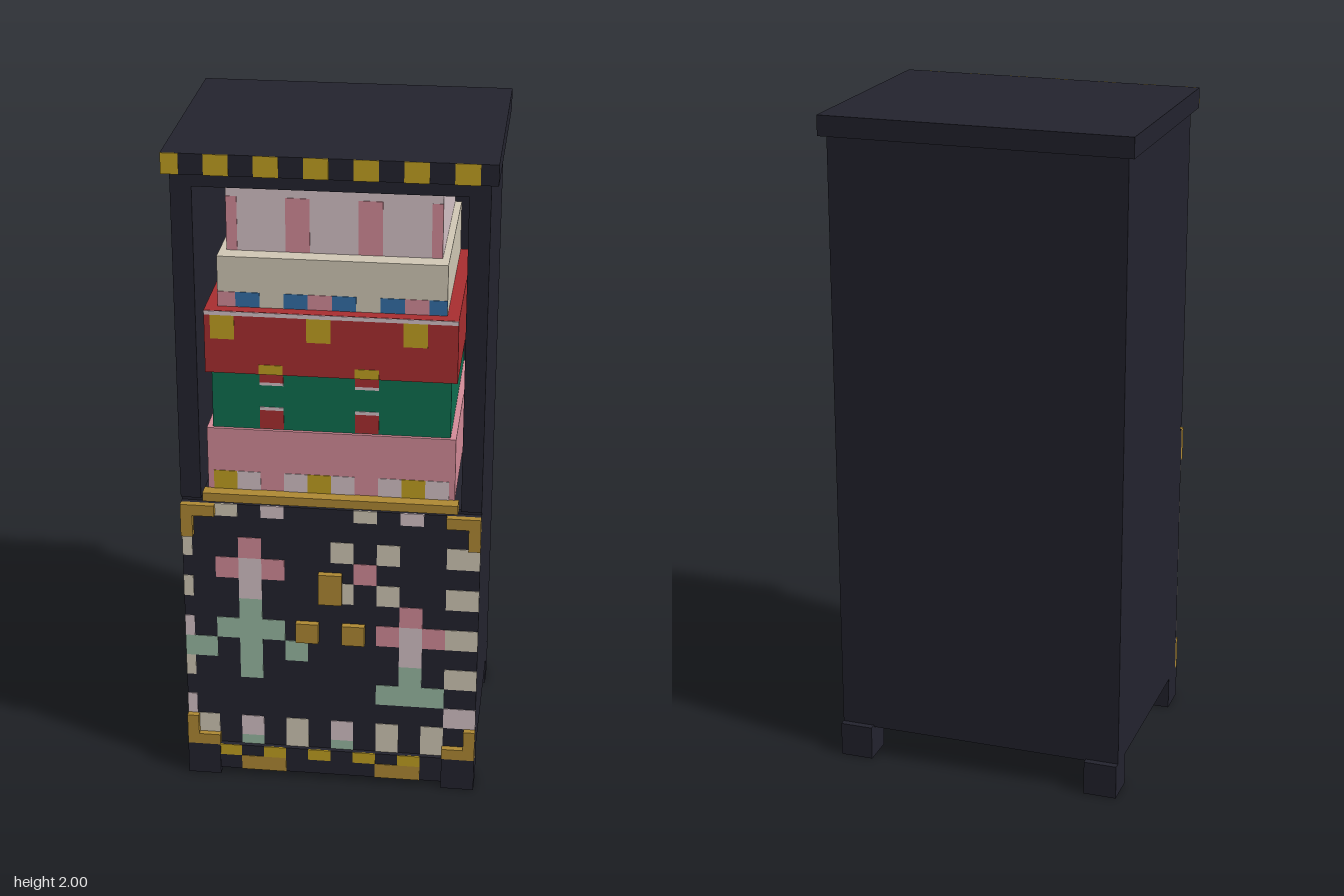
import * as THREE from 'three';

const mat = (name, color) => Object.assign(new THREE.MeshStandardMaterial({ color }), { name });
const M = {
  dark: mat('darkLacquer', 0x23232e),
  gold: mat('gold', 0xb08a34),
  y: mat('yellow', 0xc2a022),
  p: mat('pink', 0xd58c99),
  w: mat('palePink', 0xd6c3c8),
  c: mat('cream', 0xd2c9b6),
  b: mat('blue', 0x3470a8),
  r: mat('red', 0xa92e30),
  g: mat('green', 0x0f6f50),
  m: mat('mint', 0x9abaa4),
};
const T = 0.0685; // size of one painted square

// Box given by its minimum and maximum along each axis
function box(parent, name, material, x0, x1, y0, y1, z0, z1) {
  const mesh = new THREE.Mesh(new THREE.BoxGeometry(x1 - x0, y1 - y0, z1 - z0), material);
  mesh.position.set((x0 + x1) / 2, (y0 + y1) / 2, (z0 + z1) / 2);
  mesh.name = name;
  parent.add(mesh);
  return mesh;
}

// One row of painted squares; each letter is a colour, columns start at -7
function paintRow(parent, name, row, half, y0, y1, z) {
  [...row].forEach((k, n) => {
    if (!M[k]) return;
    const x0 = Math.max((n - 7) * T, -half), x1 = Math.min((n - 6) * T, half);
    if (x1 > x0) box(parent, name, M[k], x0, x1, y0, y1, z - 0.002, z + 0.002);
  });
}

export function createModel() {
  const model = new THREE.Group();
  model.name = 'cabinet';
  const group = (name) => {
    const g = new THREE.Group();
    g.name = name;
    model.add(g);
    return g;
  };

  // Carcass: walls, back, floor block and top
  const body = group('carcass');
  box(body, 'backPanel', M.dark, -0.44, 0.44, 0.1, 1.94, -0.34, -0.3);
  box(body, 'lowerBlock', M.dark, -0.38, 0.38, 0.1, 0.945, -0.3, 0.325);
  box(body, 'topRail', M.dark, -0.38, 0.38, 1.9, 1.94, -0.3, 0.34);
  for (const s of [-1, 1]) {
    const [a, b] = s < 0 ? [-0.44, -0.38] : [0.38, 0.44];
    box(body, 'sidePanel', M.dark, a, b, 0.1, 1.94, -0.3, 0.325);
    box(body, 'frontPost', M.dark, a, b, 0.945, 1.94, 0.325, 0.34);
    // Feet
    const [f, h] = s < 0 ? [-0.44, -0.34] : [0.34, 0.44];
    box(body, 'frontFoot', M.dark, f, h, 0, 0.105, 0.26, 0.36);
    box(body, 'backFoot', M.dark, f, h, 0, 0.105, -0.36, -0.26);
  }
  box(body, 'top', M.dark, -0.46, 0.46, 1.94, 2, -0.36, 0.36);
  paintRow(body, 'topTrim', 'y.y.y.y.y.y.y.', 0.46, 1.94, 2, 0.36);

  // Apron between the front feet
  const apron = group('apron');
  box(apron, 'apronBoard', M.dark, -0.34, 0.34, 0.02, 0.105, 0.33, 0.355);
  for (const z of [0.33, 0.355]) paintRow(apron, 'apronDash', '..y.y.y.y.y...', 0.34, T, 0.105, z);
  for (const i of [-4, 2]) box(apron, 'apronPlate', M.gold, i * T, (i + 2) * T, 0.02, T, 0.353, 0.357);

  // Door with painted flowers, top row first
  const door = group('door');
  box(door, 'doorPanel', M.dark, -0.44, 0.44, 0.105, 0.93, 0.325, 0.34);
  [
    '..c.w...c.w...',
    '..............',
    'c..p...c.c..cc',
    '..pwp...p.....',
    'c..w...c.c..cc',
    '...m......p...',
    'w.mmm....pwpcc',
    'mm.m.m....w...',
    'c..m......m.cc',
    '.........mmm..',
    'w...........ww',
    '.c.w.c.w.c.c..',
    '.c.m.c.m.c.c..',
  ].forEach((row, n) => {
    const j = 13 - n;
    paintRow(door, 'paintedSquare', row, 0.44, Math.max(j * T, 0.105), Math.min((j + 1) * T, 0.93), 0.34);
  });

  // Gold corner brackets
  const brackets = group('brackets');
  for (const s of [-1, 1]) {
    const span = (inner) => (s < 0 ? [-0.44, -inner] : [inner, 0.44]);
    for (const [y0, y1, edge0, edge1] of [[0.105, 0.205, 0.105, 0.14], [0.825, 0.93, 0.895, 0.93]]) {
      box(brackets, 'bracketUpright', M.gold, ...span(0.405), y0, y1, 0.34, 0.36);
      const [a, b] = s < 0 ? [-0.405, -0.34] : [0.34, 0.405];
      box(brackets, 'bracketBar', M.gold, a, b, edge0, edge1, 0.34, 0.36);
    }
  }

  // Lock plate, pulls and the shelf edge
  const fittings = group('fittings');
  box(fittings, 'lockPlate', M.gold, -0.035, 0.035, 0.62, 0.72, 0.34, 0.36);
  box(fittings, 'leftPull', M.gold, 0.035, 0.103, 0.485, 0.55, 0.34, 0.36);
  box(fittings, 'rightPull', M.gold, -0.103, -0.035, 0.485, 0.55, 0.34, 0.36);
  box(fittings, 'shelfEdge', M.gold, -0.372, 0.372, 0.945, 0.972, 0.32, 0.36);

  // Stack of decorated boxes: name, colour, half width, y range, front z, painted rows
  const stack = group('boxStack');
  [
    ['pinkBox', 'p', 0.36, 0.97, 1.165, 0.322, [['..ywwwywwwyw..'.replace(/www/g, 'w.w').replace('yw..', 'yw..'), 0.972, 1.03]]],
    ['greenBox', 'g', 0.343, 1.165, 1.34, 0.312, [
      ['....r...r.....', 1.167, 1.225], ['....w...w.....', 1.225, 1.235],
      ['....r...r.....', 1.312, 1.34], ['....w...w.....', 1.303, 1.312]]],
    ['redBox', 'r', 0.36, 1.34, 1.53, 0.322, [
      ['wwwwwwwwwwwwww', 1.517, 1.529], ['..y...y...y...', 1.445, 1.517], ['....y...y.....', 1.341, 1.37]]],
    ['creamBox', 'c', 0.325, 1.53, 1.68, 0.287, [['..pb.bpb.bpb..', 1.531, 1.575]]],
    ['stripedBox', 'w', 0.305, 1.68, 1.89, 0.234, [['..p..p..p..p..', 1.681, 1.84]]],
  ].forEach(([name, k, half, y0, y1, z, rows]) => {
    box(stack, name, M[k], -half, half, y0, y1, -0.25, z);
    rows.forEach(([row, a, b]) => paintRow(stack, name + 'Pattern', row, half, a, b, z));
  });
  return model;
}
